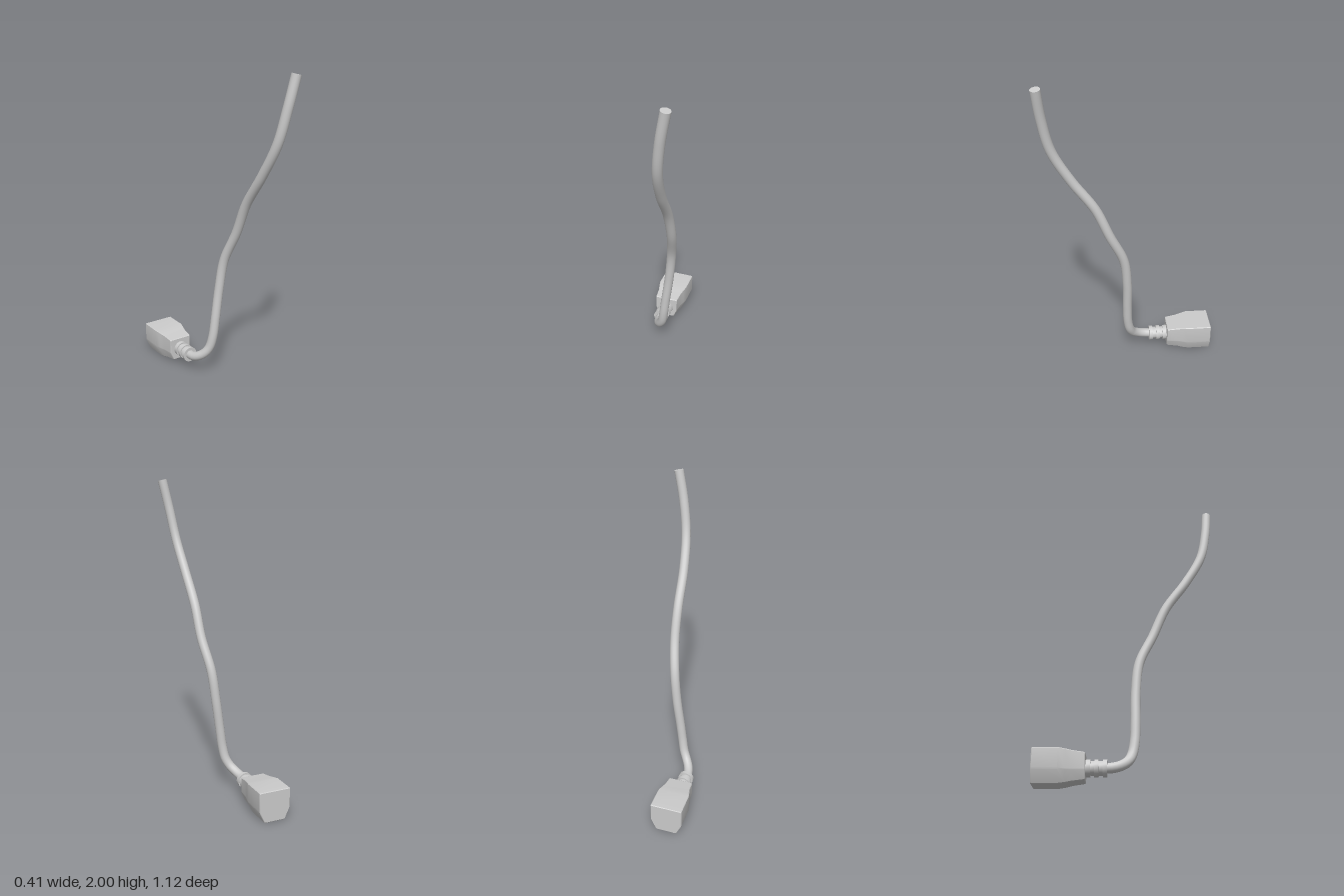
import * as THREE from 'three';
import { toCreasedNormals } from 'three/addons/utils/BufferGeometryUtils.js';

const material = new THREE.MeshStandardMaterial({ color: 0xcccccc });
const AXIS_X = -0.106, AXIS_Y = 0.1;

// Six-sided plug outline, counter-clockwise from +z, each corner slightly clipped
function outline([z, halfWidth, bottom, top, footHalf, shoulder]) {
  const corners = [
    [-footHalf, bottom], [footHalf, bottom], [halfWidth, shoulder],
    [halfWidth, top], [-halfWidth, top], [-halfWidth, shoulder],
  ].map(([x, y]) => new THREE.Vector3(AXIS_X + x, y, z));
  const clip = 0.004;
  return corners.flatMap((p, i) => [corners[(i + 5) % 6], corners[(i + 1) % 6]].map(
    (q) => p.clone().add(q.clone().sub(p).setLength(clip))));
}

// Skin between successive outlines, closed at both ends
function loft(sections) {
  const rings = sections.map(outline);
  const n = rings[0].length;
  const positions = rings.flat().flatMap((p) => p.toArray());
  const index = [];
  for (let i = 0; i < rings.length - 1; i++) {
    for (let j = 0; j < n; j++) {
      const k = (j + 1) % n;
      const a = i * n + j, b = i * n + k, c = b + n, d = a + n;
      index.push(a, b, c, a, c, d);
    }
  }
  const last = (rings.length - 1) * n;
  for (let j = 1; j < n - 1; j++) {
    index.push(0, j + 1, j, last, last + j, last + j + 1);
  }
  const geometry = new THREE.BufferGeometry();
  geometry.setAttribute('position', new THREE.Float32BufferAttribute(positions, 3));
  geometry.setIndex(index);
  return toCreasedNormals(geometry, 0.4);
}

export function createModel() {
  const group = new THREE.Group();
  const add = (name, geometry) => {
    const mesh = new THREE.Mesh(geometry, material);
    mesh.name = name;
    group.add(mesh);
    return mesh;
  };

  // Plug body: z, half width, bottom, top, half width of foot, shoulder height
  add('plugBody', loft([
    [-0.56, 0.099, 0.004, 0.194, 0.066, 0.076],
    [-0.556, 0.103, 0, 0.198, 0.068, 0.076],
    [-0.41, 0.103, 0, 0.198, 0.068, 0.076],
    [-0.37, 0.094, 0.006, 0.192, 0.064, 0.077],
    [-0.335, 0.085, 0.014, 0.186, 0.059, 0.078],
    [-0.264, 0.079, 0.024, 0.176, 0.055, 0.08],
    [-0.259, 0.075, 0.028, 0.172, 0.053, 0.08],
  ]));

  // Ribbed strain relief: stepped profile turned about the plug axis
  const profile = [[0, -0.27]];
  for (const [z0, z1] of [[-0.27, -0.232], [-0.21, -0.186], [-0.161, -0.137]]) {
    if (profile.length > 1) profile.push([0.041, z0]);
    profile.push([0.05, z0], [0.05, z1]);
    profile.push(z1 > -0.15 ? [0, z1] : [0.041, z1]);
  }
  const relief = new THREE.LatheGeometry(profile.map(([r, z]) => new THREE.Vector2(r, z)), 24);
  relief.rotateX(Math.PI / 2);
  relief.translate(AXIS_X, AXIS_Y, 0);
  add('strainRelief', toCreasedNormals(relief, 0.6));

  // Cable rising from the plug
  const path = new THREE.CatmullRomCurve3([
    [AXIS_X, AXIS_Y, -0.16], [-0.105, 0.105, -0.1], [-0.091, 0.122, -0.055],
    [-0.066, 0.153, -0.018], [-0.042, 0.2, 0.004], [-0.026, 0.28, 0.018],
    [-0.01, 0.4, 0.022], [0.017, 0.6, 0.024], [0.04, 0.8, 0.047],
    [0.07, 1.0, 0.135], [0.077, 1.2, 0.222], [0.085, 1.4, 0.36],
    [0.105, 1.6, 0.467], [0.135, 1.8, 0.51], [0.175, 1.993, 0.53],
  ].map((p) => new THREE.Vector3(...p)));
  const radius = 0.03;
  add('cable', new THREE.TubeGeometry(path, 90, radius, 16, false));

  // Cut end of the cable
  const end = add('cableEnd', new THREE.CircleGeometry(radius, 16));
  end.position.copy(path.getPoint(1));
  end.quaternion.setFromUnitVectors(new THREE.Vector3(0, 0, 1), path.getTangent(1));

  return group;
}
